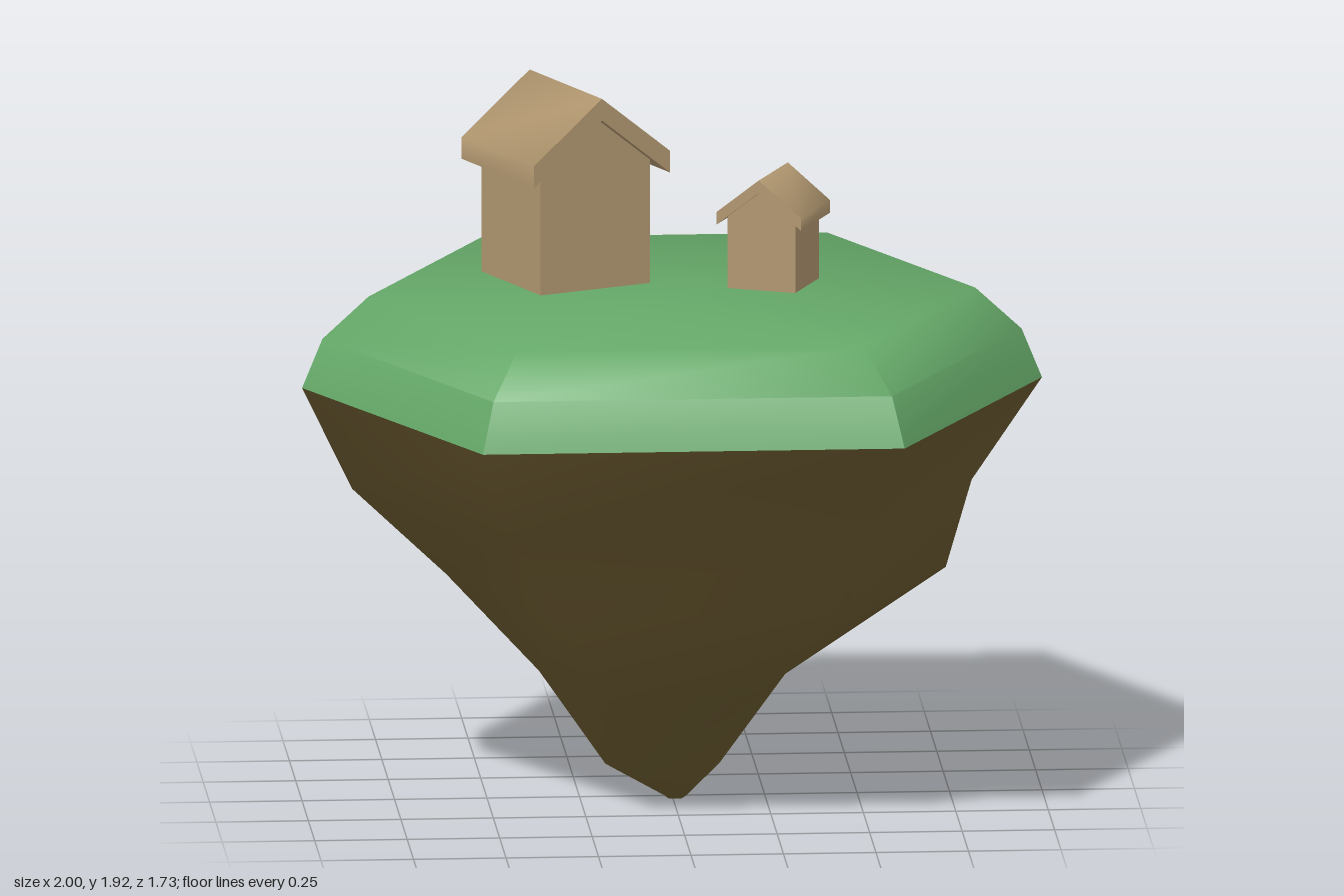
import * as THREE from 'three';
import { toCreasedNormals } from 'three/addons/utils/BufferGeometryUtils.js';

const paint = (color) => new THREE.MeshStandardMaterial({ color });
const grassMat = paint(0x65a868);
const rockMat = paint(0x6b5a30);
const woodMat = paint(0xb0966f);

// Hexagonal loft, listed from bottom to top. Ring: [y, reach to -x, reach to +x, half depth]
function hexLoft(rings, capBottom, capTop) {
  const pos = [], index = [];
  for (const [y, l, r, z] of rings) {
    pos.push(r, y, 0, 0.57 * r, y, z, -0.57 * l, y, z, -l, y, 0, -0.57 * l, y, -z, 0.57 * r, y, -z);
  }
  for (let k = 0; k < rings.length - 1; k++) {
    for (let i = 0; i < 6; i++) {
      const a = k * 6 + i, b = k * 6 + (i + 1) % 6;
      index.push(a, a + 6, b, b, a + 6, b + 6);
    }
  }
  const cap = (k, up) => {
    const [y, l, r] = rings[k], c = pos.length / 3;
    pos.push((r - l) / 2, y, 0);
    for (let i = 0; i < 6; i++) {
      const a = k * 6 + i, b = k * 6 + (i + 1) % 6;
      index.push(c, up ? b : a, up ? a : b);
    }
  };
  if (capBottom) cap(0, false);
  if (capTop) cap(rings.length - 1, true);
  const geo = new THREE.BufferGeometry();
  geo.setAttribute('position', new THREE.Float32BufferAttribute(pos, 3));
  geo.setIndex(index);
  geo.computeVertexNormals();
  return geo;
}

function addMesh(parent, name, geo, mat) {
  const mesh = new THREE.Mesh(geo, mat);
  mesh.name = name;
  parent.add(mesh);
  return mesh;
}

// Outline extruded along z, centred on z = 0
function extrude(points, depth) {
  const shape = new THREE.Shape(points.map(([x, y]) => new THREE.Vector2(x, y)));
  return new THREE.ExtrudeGeometry(shape, { depth, bevelEnabled: false }).translate(0, 0, -depth / 2);
}

// Gabled house standing on y = 0 with its gable facing +z
function createHouse(name) {
  const house = new THREE.Group();
  house.name = name;
  const w = 0.167, e = 0.208, peak = 0.475, eave = 0.31, t = 0.06;
  const side = peak - (peak - eave) * w / e;
  addMesh(house, 'walls', extrude([[-w, 0], [w, 0], [w, side], [0, peak], [-w, side]], 0.34), woodMat);
  const roof = extrude([[-e, eave], [0, peak], [e, eave], [e, eave + t], [0, peak + t], [-e, eave + t]], 0.416);
  addMesh(house, 'roof', toCreasedNormals(roof, 1.4), woodMat);
  return house;
}

export function createModel() {
  const island = new THREE.Group();
  island.name = 'floatingIsland';

  // Rock underside with a bulge on the +x side
  addMesh(island, 'rock', hexLoft([
    [0, 0.02, 0.04, 0.04],
    [0.09, 0.18, 0.13, 0.155],
    [0.35, 0.36, 0.32, 0.38],
    [0.62, 0.61, 0.74, 0.56],
    [0.86, 0.865, 0.81, 0.67],
    [1.14, 1, 1, 0.865],
  ], true, false), rockMat);

  // Grass cap: crisp corners on the lower band, soft rounding above
  const grass = hexLoft([
    [1.14, 1, 1, 0.865],
    [1.275, 0.945, 0.945, 0.82],
    [1.39, 0.82, 0.82, 0.715],
  ], true, true);
  addMesh(island, 'grass', toCreasedNormals(grass, 0.85), grassMat);

  // Houses
  const large = createHouse('largeHouse');
  large.position.set(-0.273, 1.388, -0.205);
  large.rotation.y = 0.42;
  const small = createHouse('smallHouse');
  small.position.set(0.28, 1.388, -0.093);
  small.rotation.y = -0.4;
  small.scale.setScalar(0.58);
  island.add(large, small);
  return island;
}
